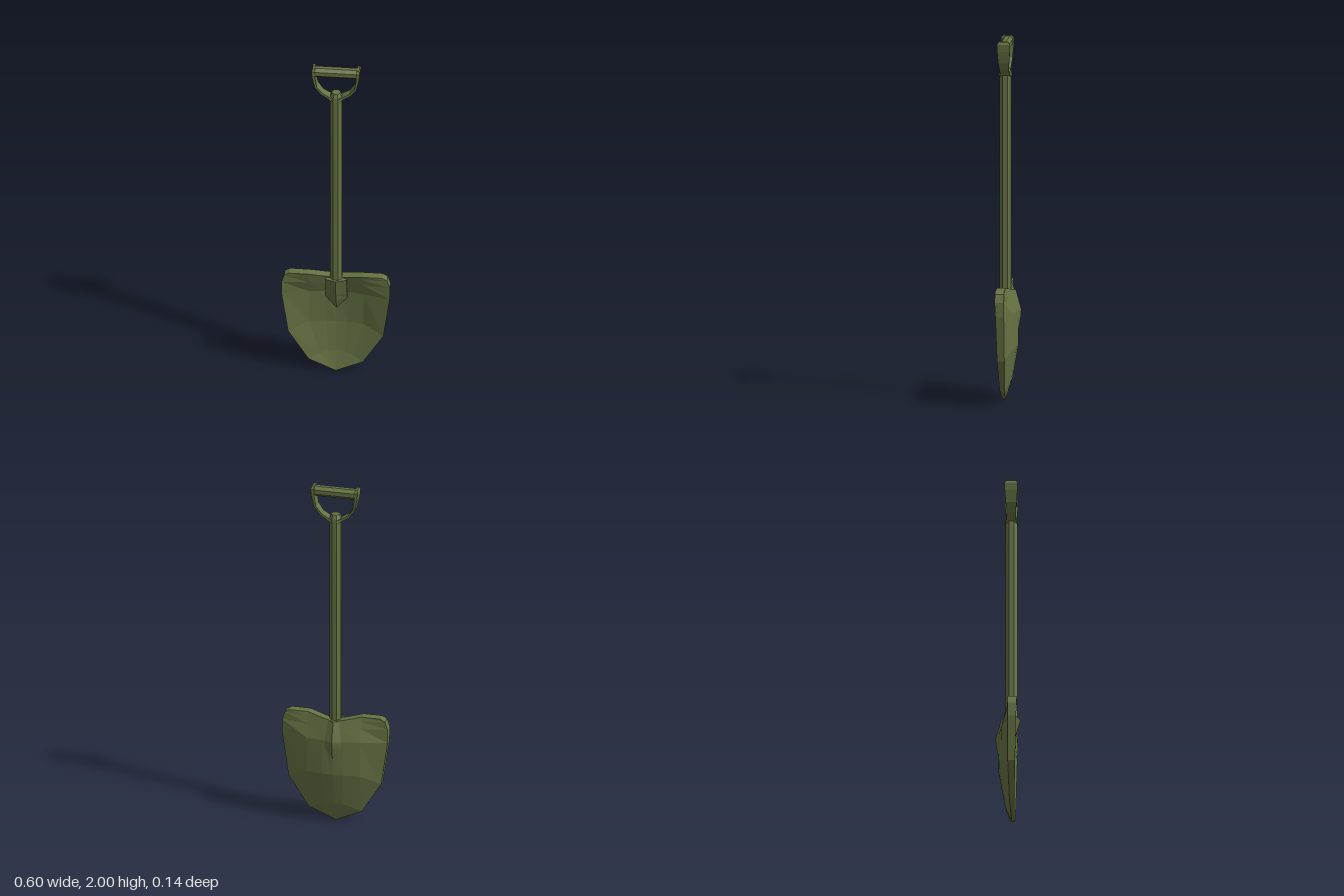
import * as THREE from 'three';

const AXIS_Z = 0.017; // depth of the shaft and grip axis

// Flat-faced solid through rings running top to bottom, each ring counter-clockwise
// from above: front points left to right, then back points right to left.
function loft(rings) {
  const pos = [];
  const n = rings[0].length;
  const v = (p) => new THREE.Vector3(...p);
  const tri = (a, b, c) => {
    const area = v(b).sub(v(a)).cross(v(c).sub(v(a))).length();
    if (area > 1e-8) pos.push(...a, ...b, ...c);
  };
  const quad = (a, b, c, d) => { tri(a, b, c); tri(a, c, d); };
  for (let r = 0; r < rings.length - 1; r++) {
    const up = rings[r], low = rings[r + 1];
    for (let i = 0; i < n; i++) {
      const k = (i + 1) % n;
      quad(up[i], low[i], low[k], up[k]);
    }
  }
  // End caps join each front point to the back point behind it
  const top = rings[0], end = rings[rings.length - 1];
  for (let i = 0; i < n / 2 - 1; i++) {
    quad(top[i], top[i + 1], top[n - 2 - i], top[n - 1 - i]);
    quad(end[n - 1 - i], end[n - 2 - i], end[i + 1], end[i]);
  }
  const geo = new THREE.BufferGeometry();
  geo.setAttribute('position', new THREE.Float32BufferAttribute(pos, 3));
  geo.computeVertexNormals();
  return geo;
}

// Dished blade: each row lists [x, y, back z] from the centre out, and its thickness
function bladeGeometry() {
  const rows = [
    { t: 0.05, p: [[0, 0.61, -0.03], [0.06, 0.62, -0.02], [0.15, 0.64, 0], [0.255, 0.64, 0]] },
    { t: 0.05, p: [[0, 0.59, -0.035], [0.06, 0.6, -0.025], [0.15, 0.615, -0.006], [0.283, 0.625, 0]] },
    { t: 0.05, p: [[0, 0.56, -0.043], [0.06, 0.565, -0.034], [0.15, 0.575, -0.016], [0.298, 0.58, 0]] },
    { t: 0.046, p: [[0, 0.5, -0.056], [0.06, 0.5, -0.05], [0.15, 0.5, -0.037], [0.298, 0.5, 0]] },
    { t: 0.04, p: [[0, 0.3, -0.053], [0.06, 0.3, -0.05], [0.15, 0.3, -0.036], [0.262, 0.25, 0]] },
    { t: 0.028, p: [[0, 0.12, -0.022], [0.045, 0.115, -0.019], [0.09, 0.1, -0.01], [0.15, 0.07, 0.008]] },
    { t: 0.015, p: [[0, 0, 0.018], [0, 0, 0.018], [0, 0, 0.018], [0, 0, 0.018]] },
  ];
  return loft(rows.map(({ t, p }) => {
    const left = p.slice(1).reverse().map(([x, y, z]) => [-x, y, z]);
    const back = [...left, ...p];
    const front = back.map(([x, y, z]) => [x, y, z + t]);
    return [...front, ...back.reverse()];
  }));
}

// Ridged socket, hexagonal in section, running down to a point
function socketGeometry() {
  const ring = (y, w, ridge, front, back, spine, yTip = y) => [
    [-w, y, front], [0, yTip, ridge], [w, y, front],
    [w, y, back], [0, yTip, spine], [-w, y, back],
  ];
  return loft([
    ring(0.61, 0.06, 0.067, 0.044, -0.014, -0.04),
    ring(0.5, 0.06, 0.036, 0.012, -0.046, -0.07),
    ring(0.465, 0.06, 0.024, -0.004, -0.046, -0.067, 0.46),
    ring(0.39, 0, -0.008, -0.008, -0.054, -0.054),
  ]);
}

// One side of the grip yoke: stations of [x, y, half thickness, half depth]
function strapGeometry() {
  const path = [
    [0.122, 2.0, 0.006, 0.026],
    [0.123, 1.985, 0.01, 0.036],
    [0.121, 1.945, 0.008, 0.035],
    [0.109, 1.88, 0.006, 0.03],
    [0.077, 1.836, 0.006, 0.025],
    [0.034, 1.809, 0.007, 0.027],
    [0.015, 1.8, 0.008, 0.037],
  ];
  return loft(path.map(([x, y, h, w], i) => {
    const a = path[Math.max(i - 1, 0)], b = path[Math.min(i + 1, path.length - 1)];
    const dx = b[0] - a[0], dy = b[1] - a[1], len = Math.hypot(dx, dy);
    const nx = (-dy / len) * h, ny = i ? (dx / len) * h : 0; // outward offset
    return [
      [x - nx, y - ny, w], [x + nx, y + ny, w],
      [x + nx, y + ny, -w], [x - nx, y - ny, -w],
    ];
  }));
}

export function createModel() {
  const olive = new THREE.MeshStandardMaterial({ color: 0x667344, flatShading: true });
  olive.name = 'olive';
  const model = new THREE.Group();
  model.name = 'shovel';
  const add = (name, geo, z = 0) => {
    const mesh = new THREE.Mesh(geo, olive);
    mesh.name = name;
    mesh.position.z = z;
    model.add(mesh);
    return mesh;
  };

  add('blade', bladeGeometry());
  add('socket', socketGeometry());

  // Eight-sided shaft with a bevelled top
  const profile = [[0, 0.59], [0.035, 0.59], [0.035, 1.815], [0.025, 1.838], [0, 1.84]];
  const shaft = new THREE.LatheGeometry(profile.map(([r, y]) => new THREE.Vector2(r, y)), 8, Math.PI / 8);
  add('shaft', shaft, AXIS_Z);

  // Grip bar with a strap at each end
  const bar = new THREE.CylinderGeometry(0.031, 0.031, 0.236, 8);
  bar.rotateY(Math.PI / 8);
  bar.rotateZ(Math.PI / 2);
  bar.translate(0, 1.967, 0);
  add('gripBar', bar, AXIS_Z);
  add('leftStrap', strapGeometry(), AXIS_Z);
  add('rightStrap', strapGeometry(), AXIS_Z).rotation.y = Math.PI;

  return model;
}
